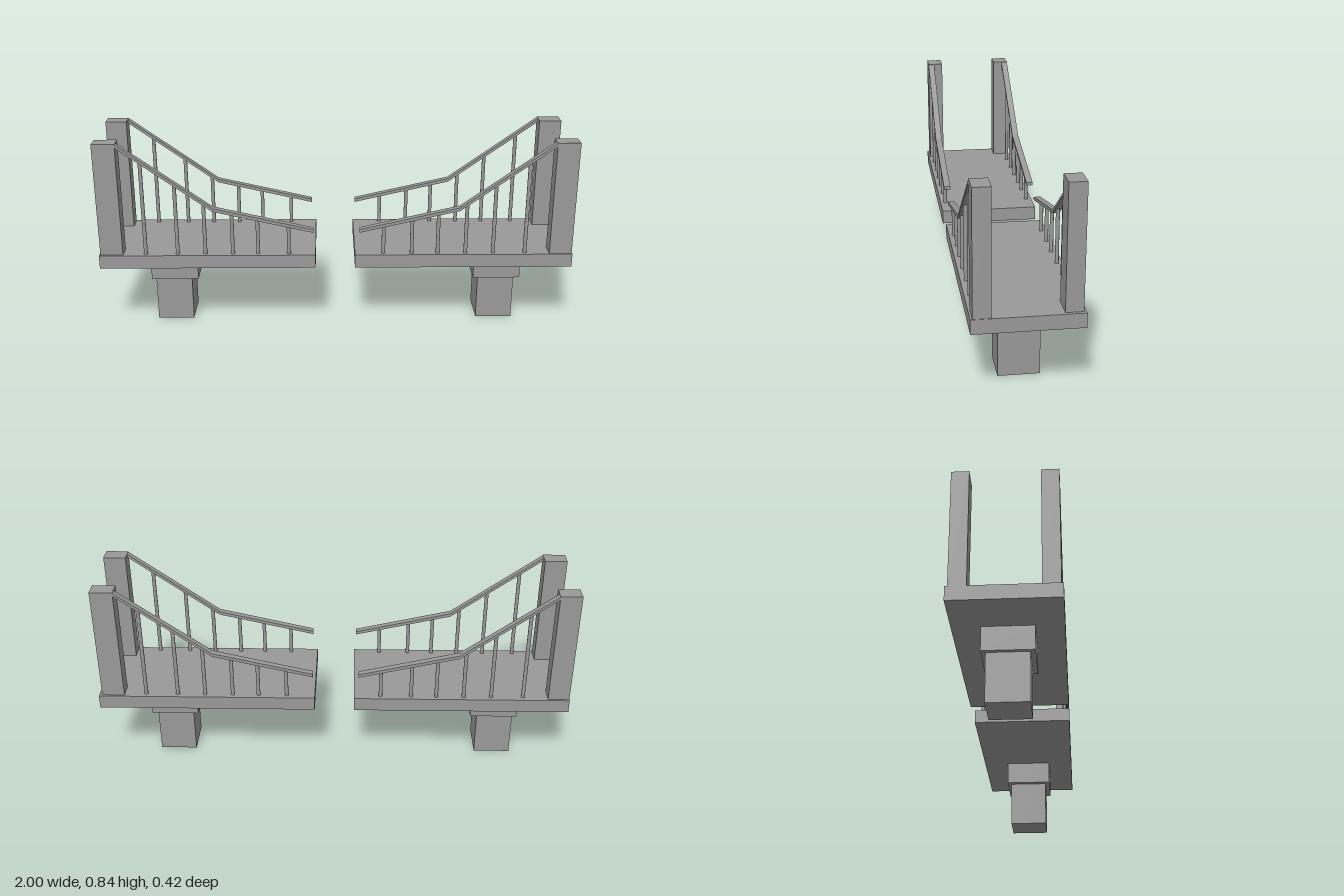
import * as THREE from 'three';

export function createModel() {
  const bridge = new THREE.Group();
  bridge.name = 'brokenBridge';
  const concrete = new THREE.MeshStandardMaterial({ color: 0x999999 });
  concrete.name = 'concrete grey';

  const add = (parent, name, geometry) => {
    const mesh = new THREE.Mesh(geometry, concrete);
    mesh.name = name;
    parent.add(mesh);
    return mesh;
  };
  // Box given by its minimum and maximum corners
  const box = (parent, name, [x0, x1], [y0, y1], [z0, z1]) => {
    const mesh = add(parent, name, new THREE.BoxGeometry(Math.abs(x1 - x0), y1 - y0, z1 - z0));
    mesh.position.set((x0 + x1) / 2, (y0 + y1) / 2, (z0 + z1) / 2);
  };

  // Kinked handrail line: tower top, bend, free end (distance from centre, height)
  const rail = [[0.9, 0.832], [0.515, 0.555], [0.095, 0.459]];
  const railHeight = (d) => {
    const [a, b] = d > rail[1][0] ? [rail[0], rail[1]] : [rail[1], rail[2]];
    return a[1] + (b[1] - a[1]) * (d - a[0]) / (b[0] - a[0]);
  };

  // Per half: side, deck gap edge, column range, hanger positions, x shift of front and back railings
  const halves = [
    { name: 'left', s: 1, gap: 0.08, column: [0.623, 0.78], shift: [0.003, -0.008],
      hangers: [0.8, 0.665, 0.548, 0.43, 0.32, 0.2] },
    { name: 'right', s: -1, gap: 0.087, column: [0.631, 0.787], shift: [0, 0.01],
      hangers: [0.805, 0.67, 0.553, 0.437, 0.33, 0.2] },
  ];

  for (const { name, s, gap, column, shift, hangers } of halves) {
    const half = new THREE.Group();
    half.name = name + 'Half';
    bridge.add(half);
    const span = (a, b) => [s * a, s * b];

    // Deck and supporting pier
    box(half, 'deck', span(gap, 1), [0.296, 0.354], [-0.21, 0.208]);
    box(half, 'pierCap', span(0.6, 0.803), [0.198, 0.296], [-0.1, 0.1]);
    box(half, 'pierColumn', span(...column), [0, 0.198], [-0.083, 0.081]);

    // Front and back towers with their railings
    [1, -1].forEach((side, i) => {
      const dx = shift[i];
      const railing = new THREE.Group();
      railing.name = side > 0 ? 'frontRailing' : 'backRailing';
      half.add(railing);

      const outer = Math.min(1, 0.995 + dx);
      box(railing, 'tower', span(0.9 + dx, outer), [0.354, 0.841],
        side > 0 ? [0.132, 0.2] : [-0.2, -0.132]);

      // Two thin handrail bars joined at the bend
      const z = side * 0.186;
      const shape = new THREE.Shape();
      const t = 0.007;
      const outline = [...rail.map(([x, y]) => [x, y + t]), ...rail.map(([x, y]) => [x, y - t]).reverse()];
      shape.setFromPoints(outline.map(([x, y]) => new THREE.Vector2(s * (x + dx), y)));
      const bar = add(railing, 'handrail', new THREE.ExtrudeGeometry(shape, { depth: 0.028, bevelEnabled: false }));
      bar.position.z = z - 0.014;

      // Vertical hangers from deck to handrail
      for (const d of hangers) {
        const top = railHeight(d - dx);
        const hanger = add(railing, 'hanger', new THREE.CylinderGeometry(0.008, 0.008, top - 0.35, 10));
        hanger.position.set(s * d, (top + 0.35) / 2, z);
      }
    });
  }
  return bridge;
}
